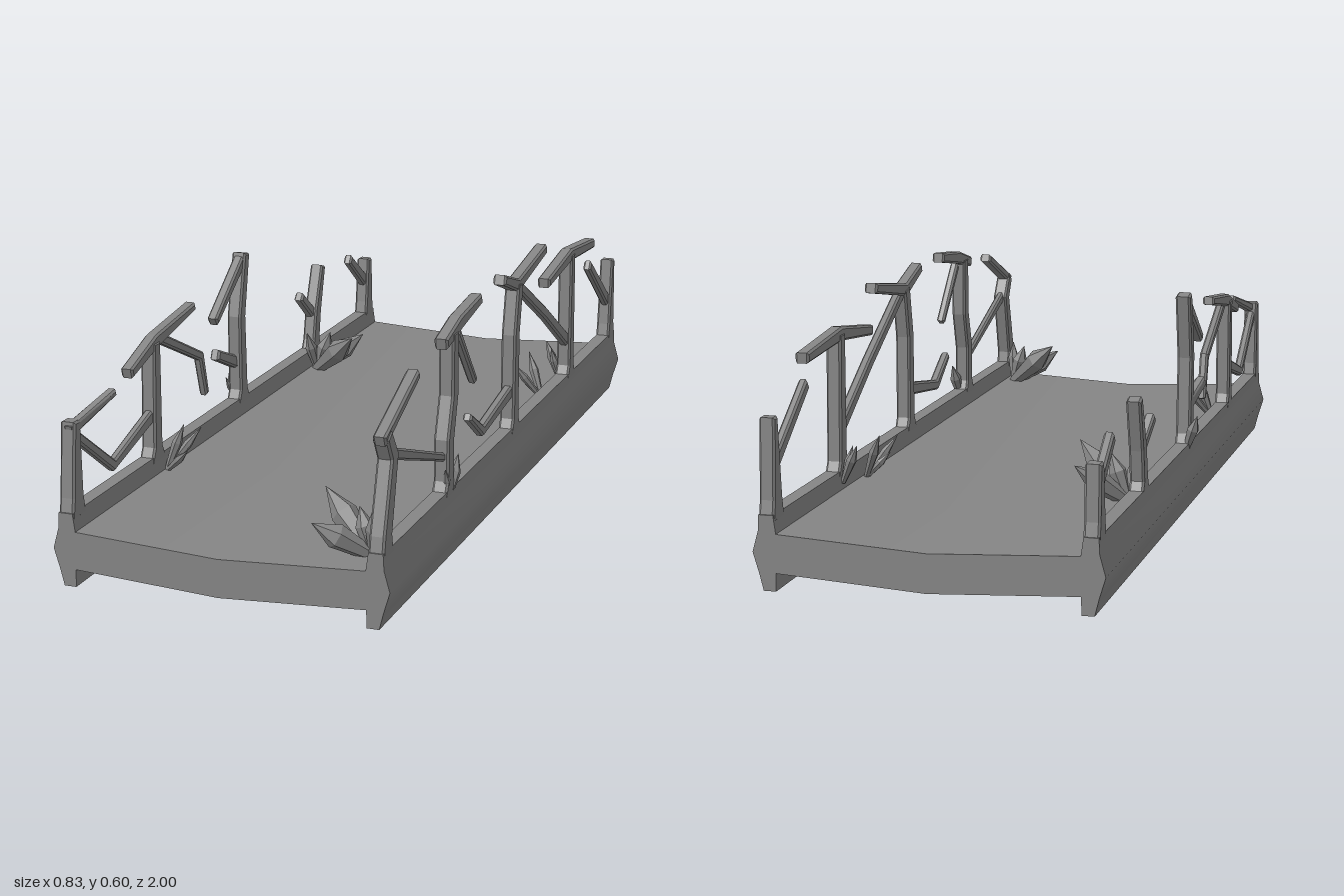
import * as THREE from 'three';
import { toCreasedNormals } from 'three/addons/utils/BufferGeometryUtils.js';

const material = new THREE.MeshStandardMaterial({ color: 0x858585 });
const RAIL_X = 0.379, SHIFT = 0.003;

function add(parent, name, geometry) {
  const mesh = new THREE.Mesh(geometry, material);
  mesh.name = name;
  parent.add(mesh);
  return mesh;
}

// Extrude an x-y outline along the whole length of the walkway, smooth over gentle bends
function lengthwise(points) {
  const shape = new THREE.Shape(points.map(([x, y]) => new THREE.Vector2(x, y)));
  const geo = new THREE.ExtrudeGeometry(shape, { depth: 2, bevelEnabled: false });
  return toCreasedNormals(geo.translate(SHIFT, 0, -1), 0.6);
}

// Chamfered limb following [z, y, halfWidth] points; lean shifts its far end in x
function limbGeometry(path, thickness, x, lean = 0) {
  const pts = path.map(([z, y]) => new THREE.Vector2(z, y));
  const bevel = 0.005;
  const left = [], right = [];
  pts.forEach((p, i) => {
    const a = p.clone().sub(pts[Math.max(i - 1, 0)]).normalize();
    const b = pts[Math.min(i + 1, pts.length - 1)].clone().sub(p).normalize();
    const dir = a.clone().add(b).normalize();
    const miter = 1 / Math.max(0.6, dir.dot(i ? a : b));
    const n = new THREE.Vector2(-dir.y, dir.x).multiplyScalar((path[i][2] - bevel) * miter);
    left.push(p.clone().add(n));
    right.unshift(p.clone().sub(n));
  });
  const geo = new THREE.ExtrudeGeometry(new THREE.Shape([...left, ...right]), {
    depth: thickness - 2 * bevel, bevelThickness: bevel, bevelSize: bevel, bevelSegments: 1,
  });
  geo.translate(0, 0, -(thickness - 2 * bevel) / 2).rotateY(-Math.PI / 2);
  const pos = geo.attributes.position;
  const span = pts[0].distanceTo(pts[pts.length - 1]);
  for (let i = 0; i < pos.count; i++) {
    const d = Math.hypot(pos.getZ(i) - pts[0].x, pos.getY(i) - pts[0].y);
    pos.setX(i, pos.getX(i) + x + lean * d / span);
  }
  geo.computeVertexNormals();
  return geo;
}

// Pointed crystal running from base to tip
function crystal(parent, base, tip, radius) {
  const a = new THREE.Vector3(...base), b = new THREE.Vector3(...tip);
  const dir = b.clone().sub(a), h = dir.length();
  const profile = [[0, 0], [0.5, 0], [1, 0.6], [0, 1]].map(([r, t]) => new THREE.Vector2(r * radius, t * h));
  const mesh = add(parent, 'crystal', toCreasedNormals(new THREE.LatheGeometry(profile, 6), 0.1));
  mesh.position.copy(a);
  mesh.quaternion.setFromUnitVectors(new THREE.Vector3(0, 1, 0), dir.normalize());
}

// Post rising from a flared foot; end posts taper all the way up
const post = (z, ...rest) => [[z, 0.165, 0.04], [z, 0.2, 0.022], ...rest];
const endPost = (z, ...rest) => [[z, 0.165, 0.034], [z, 0.21, 0.025], ...rest];

// Each entry: name, path of [z, y, halfWidth], thickness, lean
const leftLimbs = [
  ['post', endPost(0.965, [0.92, 0.38, 0.02], [0.955, 0.435, 0.017]), 0.038],
  ['topBranch', [[0.97, 0.43, 0.013], [0.755, 0.52, 0.011]], 0.032],
  ['brace', [[0.92, 0.385, 0.014], [0.53, 0.255, 0.01]], 0.02],
  ['post', post(0.53, [0.53, 0.3, 0.022], [0.5, 0.4, 0.02], [0.5, 0.55, 0.02]), 0.038],
  ['topBranch', [[0.555, 0.54, 0.014], [0.45, 0.565, 0.017], [0.3, 0.585, 0.013]], 0.034],
  ['twig', [[0.45, 0.54, 0.011], [0.355, 0.4, 0.009]], 0.022, 0.012],
  ['post', post(0, [0.0, 0.42, 0.02], [-0.025, 0.545, 0.02]), 0.038],
  ['topBranch', [[0.1, 0.585, 0.013], [-0.02, 0.545, 0.016], [-0.26, 0.585, 0.013]], 0.034],
  ['brokenBranch', [[0, 0.275, 0.017], [0.25, 0.238, 0.013], [0.35, 0.3, 0.009]], 0.024],
  ['brace', [[-0.03, 0.545, 0.014], [-0.3, 0.4, 0.015], [-0.53, 0.265, 0.017]], 0.024],
  ['post', post(-0.53, [-0.525, 0.51, 0.018]), 0.038],
  ['topBranch', [[-0.3, 0.485, 0.013], [-0.52, 0.513, 0.017], [-0.75, 0.495, 0.013]], 0.034],
  ['post', endPost(-0.965, [-0.97, 0.395, 0.012]), 0.038],
  ['brokenBranch', [[-0.97, 0.27, 0.017], [-0.745, 0.43, 0.014]], 0.022],
];

const rightLimbs = [
  ['post', endPost(0.965, [0.96, 0.385, 0.015]), 0.038],
  ['topBranch', [[0.97, 0.37, 0.013], [0.82, 0.42, 0.009]], 0.026, 0.035],
  ['brokenBranch', [[0.96, 0.36, 0.012], [0.76, 0.22, 0.013], [0.53, 0.285, 0.017]], 0.022],
  ['post', post(0.535, [0.53, 0.46, 0.018]), 0.038],
  ['topBranch', [[0.66, 0.422, 0.013], [0.52, 0.465, 0.017], [0.3, 0.497, 0.011]], 0.032],
  ['brokenBranch', [[0.5, 0.47, 0.013], [0.25, 0.355, 0.012], [0.22, 0.25, 0.009]], 0.022],
  ['post', post(0, [0.005, 0.4, 0.019], [-0.03, 0.56, 0.016]), 0.038],
  ['sideBranch', [[-0.02, 0.545, 0.015], [0.155, 0.425, 0.012]], 0.028],
  ['twig', [[0, 0.27, 0.017], [0.1, 0.315, 0.014]], 0.026, -0.02],
  ['post', post(-0.53, [-0.545, 0.28, 0.02], [-0.585, 0.4, 0.014]), 0.036],
  ['twig', [[-0.54, 0.27, 0.015], [-0.47, 0.335, 0.013]], 0.026, -0.012],
  ['post', endPost(-0.965, [-0.97, 0.335, 0.015]), 0.038],
  ['brokenBranch', [[-0.97, 0.265, 0.017], [-0.83, 0.365, 0.014]], 0.024],
];

// Crystal clusters: base, then tips with radius
const clusters = [
  { base: [-0.335, 0.13, -0.47], tips: [[-0.195, 0.255, -0.385, 0.032], [-0.22, 0.225, -0.54, 0.03], [-0.29, 0.245, -0.46, 0.022], [-0.35, 0.245, -0.43, 0.016]] },
  { base: [0.335, 0.13, 0.89], tips: [[0.195, 0.255, 0.82, 0.032], [0.215, 0.215, 0.96, 0.03], [0.3, 0.24, 0.88, 0.022], [0.345, 0.245, 0.92, 0.016]] },
  { base: [-0.35, 0.13, 0.51], tips: [[-0.28, 0.235, 0.45, 0.011], [-0.275, 0.2, 0.545, 0.011], [-0.31, 0.25, 0.49, 0.013]] },
  { base: [0.35, 0.13, -0.41], tips: [[0.28, 0.235, -0.365, 0.011], [0.3, 0.25, -0.45, 0.013], [0.285, 0.2, -0.41, 0.01]] },
  { base: [0.36, 0.15, -0.55], tips: [[0.315, 0.25, -0.57, 0.013], [0.34, 0.24, -0.53, 0.011]] },
  { base: [-0.385, 0.16, -0.02], tips: [[-0.418, 0.255, -0.045, 0.016], [-0.4, 0.235, 0.03, 0.011]] },
  { base: [0.39, 0.15, 0.52], tips: [[0.4, 0.25, 0.475, 0.016], [0.395, 0.235, 0.56, 0.011]] },
];

export function createModel() {
  const model = new THREE.Group();
  model.name = 'ruinedBridge';

  // Shallow V-shaped deck
  add(model, 'deck', lengthwise([
    [0, 0.022], [0.365, 0.043], [0.365, 0.135], [0, 0.115], [-0.365, 0.135], [-0.365, 0.043],
  ]));

  // Mirrored side beams with a swollen outer face
  const beam = [[0.358, 0], [0.388, 0], [0.398, 0.04], [0.413, 0.09], [0.399, 0.14], [0.397, 0.178], [0.362, 0.178], [0.356, 0.135]];
  add(model, 'leftBeam', lengthwise(beam));
  add(model, 'rightBeam', lengthwise(beam.map(([x, y]) => [-x, y]).reverse()));

  // Broken branch railings
  for (const [side, name, limbs] of [[1, 'leftRailing', leftLimbs], [-1, 'rightRailing', rightLimbs]]) {
    const railing = new THREE.Group();
    railing.name = name;
    for (const [part, path, thickness, lean] of limbs) {
      add(railing, part, limbGeometry(path, thickness, side * RAIL_X + SHIFT, lean));
    }
    model.add(railing);
  }

  // Crystals growing beside the railings
  for (const { base, tips } of clusters) {
    const group = new THREE.Group();
    group.name = 'crystalCluster';
    for (const [x, y, z, r] of tips) crystal(group, base, [x, y, z], r);
    model.add(group);
  }
  return model;
}
